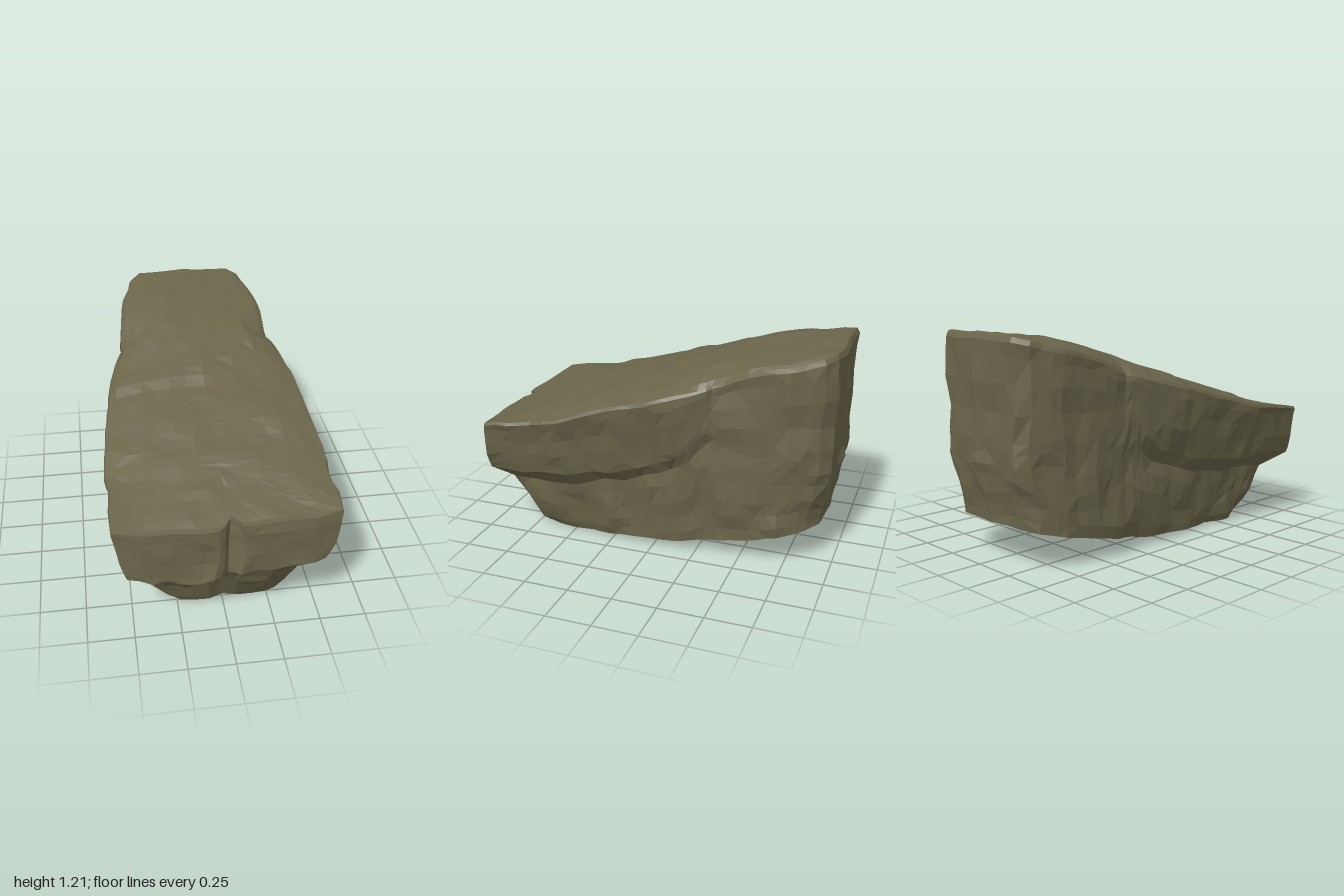
import * as THREE from 'three';

const { lerp, clamp } = THREE.MathUtils;

// Half plan outlines, front centre to back centre: slab x,z | body x,z | base x,z
const HALF = [
  [0, .915, 0, .9, 0, .73], [.035, .945, .04, .91, .04, .74],
  [.06, .965, .08, .93, .08, .755], [.25, .96, .22, .935, .16, .76],
  [.45, .955, .36, .905, .24, .755], [.59, .935, .43, .83, .31, .71],
  [.6, .8, .435, .68, .355, .61], [.585, .66, .43, .56, .37, .5],
  [.6, .58, .44, .45, .36, .4], [.57, .25, .43, .22, .39, .2],
  [.53, -.07, .43, -.06, .4, -.06], [.49, -.24, .43, -.24, .39, -.22],
  [.455, -.33, .43, -.33, .39, -.34], [.435, -.36, .435, -.37, .41, -.4],
  [.435, -.55, .435, -.55, .41, -.55], [.405, -.75, .405, -.75, .39, -.73],
  [.345, -.92, .345, -.91, .33, -.86], [.28, -.98, .28, -.97, .24, -.92],
  [0, -.992, 0, -.985, 0, -.93],
];

// Values along z, as [z, y] pairs
const TOP = [[-1, 1.21], [-.6, 1.15], [-.35, 1.085], [0, .97], [.3, .885], [.6, .785], [1, .665]];
const EDGE_DROP = [[-.97, .005], [-.8, .03], [-.5, .045], [-.35, .08], [-.2, .07], [0, .055], [.5, .05], [.9, 0]];
const LEDGE = [[-1, .6], [-.4, .66], [-.32, .76], [-.24, .64], [-.15, .57], [0, .51], [.2, .45], [.5, .4], [1, .38]];
const BOTTOM = [[-1, .235], [-.55, .13], [-.15, .05], [.3, .015], [.8, 0]];
// How far the slab's lower edge stands out over the body
const OVERHANG = [[.3, .42], [.8, .56]];

function heightAt(table, z) {
  if (z <= table[0][0]) return table[0][1];
  for (let i = 1; i < table.length; i++) {
    const [z0, y0] = table[i - 1], [z1, y1] = table[i];
    if (z <= z1) return lerp(y0, y1, (z - z0) / (z1 - z0));
  }
  return table[table.length - 1][1];
}

// Ledge between body and slab, sagging under the two front lobes
function ledgeAt(x, z) {
  const sag = Math.max(0, 1 - Math.abs(Math.abs(x) - .24) / .2);
  return heightAt(LEDGE, z) - (z > .85 ? sag * (x < 0 ? .06 : .03) : 0);
}

// The top falls off at its long edges, more on the right
const edgeDrop = (x, z) => heightAt(EDGE_DROP, z) * (x < -.1 ? 1.3 : 1);

// Seeded lattice noise in -1..1
function hash(x, y, z, seed) {
  const n = Math.sin(x * 127.1 + y * 311.7 + z * 74.7 + seed * 53.3) * 43758.5453;
  return (n - Math.floor(n)) * 2 - 1;
}
function noise(x, y, z, seed) {
  const [i, j, k] = [x, y, z].map(Math.floor);
  let sum = 0;
  for (let c = 0; c < 8; c++) {
    const a = c & 1, b = (c >> 1) & 1, d = c >> 2;
    const w = (a ? x - i : 1 - x + i) * (b ? y - j : 1 - y + j) * (d ? z - k : 1 - z + k);
    sum += w * hash(i + a, j + b, k + d, seed);
  }
  return sum;
}

// Full closed outline, resampled and mirrored
function outline() {
  const half = [];
  for (let i = 0; i < HALF.length - 1; i++) {
    const a = HALF[i], b = HALF[i + 1];
    const steps = Math.max(1, Math.round(Math.hypot(a[0] - b[0], a[1] - b[1]) / .06));
    for (let s = 0; s < steps; s++) half.push(a.map((v, k) => lerp(v, b[k], s / steps)));
  }
  const mirror = half.slice(1).reverse().map(p => p.map((v, k) => (k % 2 ? v : -v)));
  const loop = [...half, HALF[HALF.length - 1], ...mirror];
  // The front cleft sits slightly to the left, and the right front lobe stands further out
  return loop.map(p => {
    const q = [...p];
    if (p[1] > .9 && Math.abs(p[0]) < .05) q[0] += .01;
    if (p[1] > .9 && p[0] < -.03) q[1] += .02;
    return q;
  });
}

// One ring of the rock: each level maps an outline point to x, y, z, side and rise roughness
function levels() {
  const list = [];
  const inset = (x, z, s) => [x * s, lerp(clamp(z, -.65, .6), z, s)];
  // flat underside
  for (const s of [0, .5, .85]) list.push(p => {
    const [x, z] = inset(p[4], p[5], s);
    return [x, heightAt(BOTTOM, z), z, .004, 0];
  });
  // lower body
  for (const v of [0, .15, .35, .55, .8, 1]) list.push(p => {
    const x = lerp(p[4], p[2], Math.pow(v, .6)), z = lerp(p[5], p[3], Math.pow(v, 1.15));
    const y = lerp(heightAt(BOTTOM, z), ledgeAt(p[0], z) - .07, v);
    return [x, y, z, v ? .026 : .016, v ? .02 : .004];
  });
  // overhanging upper slab
  for (const v of [0, .12, .35, .6, .82, .95, 1]) list.push(p => {
    const out = lerp(heightAt(OVERHANG, p[1]), 1, Math.min(1, v * 1.1));
    const bulge = p[1] > .9 ? .02 * (1 - v) : 0;
    const x = lerp(p[2], p[0], out) * (v === 1 ? .985 : 1);
    const z = (p[1] > .9 ? p[1] : lerp(p[3], p[1], out) * (v === 1 ? .985 : 1)) + bulge;
    const y = lerp(ledgeAt(p[0], z) + .01, heightAt(TOP, z) - edgeDrop(x, z), v);
    return [x, y, z, v < .9 ? .022 : .012, v < .3 ? .03 : v < .9 ? .015 : .008];
  });
  // sloping top with one curved crack step
  for (const s of [.92, .8, .65, .5, .35, .18, 0]) list.push(p => {
    const [x, z] = inset(p[0], p[1], s);
    const crack = x < .05 ? .03 : .03 - (x - .05) * .8;
    const y = heightAt(TOP, z) - edgeDrop(x, z) * Math.pow(s, 4);
    return [x, y + (z < crack ? .006 : -.006), z, .01, .012];
  });
  return list;
}

function rockGeometry() {
  const loop = outline(), rows = levels(), n = loop.length;
  const position = [], index = [];
  for (const row of rows) for (const p of loop) {
    const [x, y, z, side, rise] = row(p);
    const rough = seed => noise(x * 7, y * 6, z * 7, seed) + .5 * noise(x * 15, y * 13, z * 15, seed + 5);
    position.push(x + side * rough(1), Math.max(0, y + rise * rough(2)), z + side * rough(3));
  }
  for (let j = 0; j < rows.length - 1; j++) for (let i = 0; i < n; i++) {
    const a = j * n + i, b = j * n + (i + 1) % n, c = b + n, d = a + n;
    // uneven diagonals break up the facets
    if (hash(i, j, 0, 9) > 0) index.push(a, b, c, a, c, d);
    else index.push(a, b, d, b, c, d);
  }
  const geometry = new THREE.BufferGeometry();
  geometry.setAttribute('position', new THREE.Float32BufferAttribute(position, 3));
  geometry.setIndex(index);
  geometry.computeVertexNormals();
  return geometry;
}

export function createModel() {
  const stone = new THREE.MeshStandardMaterial({ color: 0x6a654a, flatShading: true });
  stone.name = 'olive stone';
  const rock = new THREE.Mesh(rockGeometry(), stone);
  rock.name = 'rock';
  const group = new THREE.Group();
  group.name = 'slopingRock';
  group.add(rock);
  return group;
}
